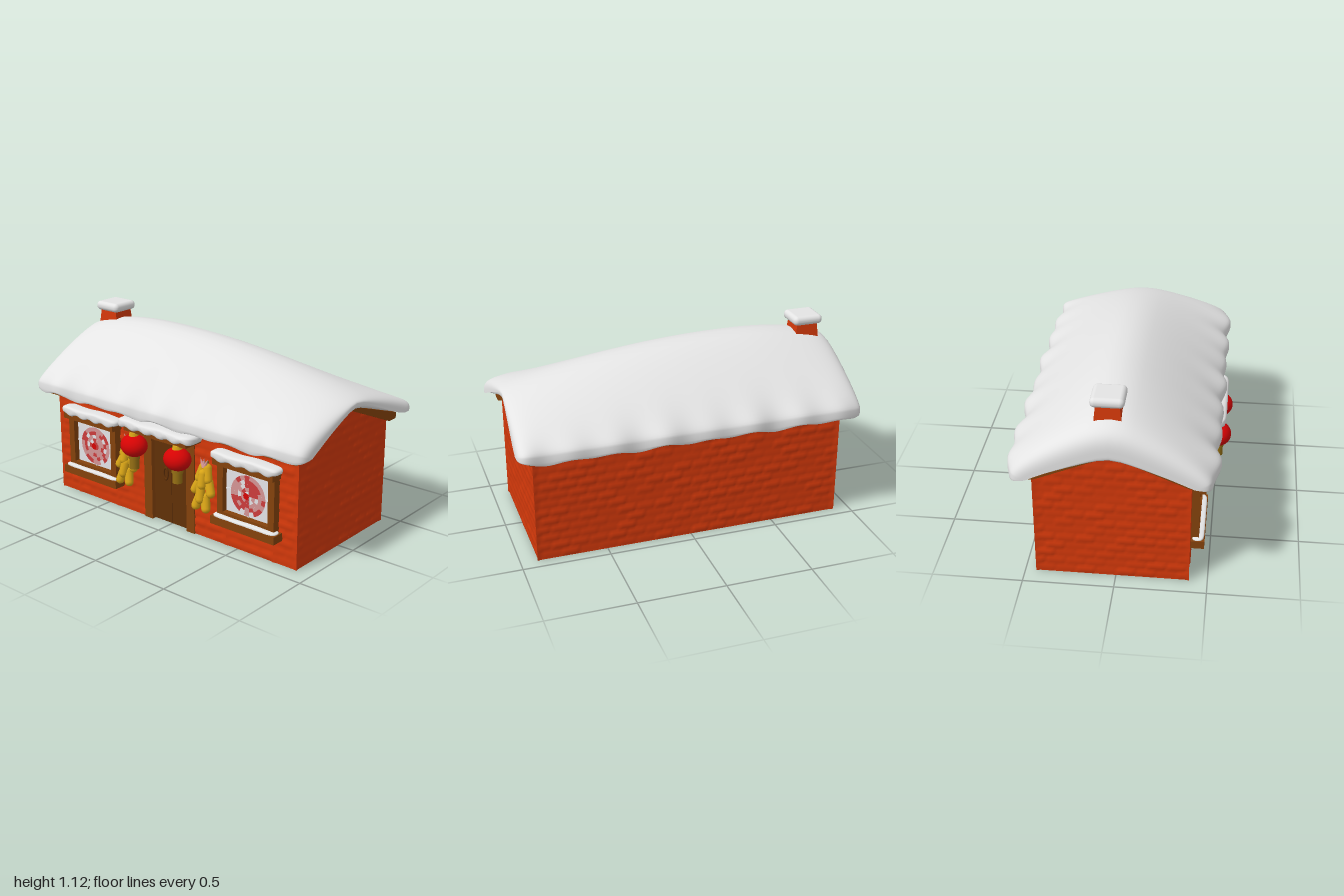
import * as THREE from 'three';
import { RoundedBoxGeometry } from 'three/addons/geometries/RoundedBoxGeometry.js';
import { mergeGeometries } from 'three/addons/utils/BufferGeometryUtils.js';

const mat = (name, color, side = THREE.FrontSide) => {
  const m = new THREE.MeshStandardMaterial({ color, side });
  m.name = name;
  return m;
};

export function createModel() {
  const root = new THREE.Group();
  root.name = 'snowyCottage';
  const M = {
    brick: mat('red brick', 0xd2380a, THREE.DoubleSide),
    snow: mat('snow', 0xe4e4e4),
    wood: mat('brown wood', 0x84420c),
    darkWood: mat('dark door wood', 0x613006),
    red: mat('lantern red', 0xd60404),
    gold: mat('dull gold', 0x967014),
    corn: mat('corn yellow', 0xd8a416),
    pane: mat('window white', 0xe6e6ea, THREE.DoubleSide),
    paper: mat('paper cut red', 0xcc3c3c),
    pink: mat('paper cut pink', 0xd49494),
  };
  const add = (name, geo, m, x = 0, y = 0, z = 0, parent = root) => {
    const mesh = new THREE.Mesh(geo, m);
    mesh.name = name;
    mesh.position.set(x, y, z);
    parent.add(mesh);
    return mesh;
  };
  const box = (name, w, h, d, m, x, y, z, parent) =>
    add(name, new THREE.BoxGeometry(w, h, d), m, x, y, z, parent);
  const sp = (v, p) => Math.sign(v) * Math.abs(v) ** p;
  const hash = (a, b) => { const v = Math.sin(a * 12.99 + b * 78.23) * 43758.5; return v - Math.floor(v); };

  // Closed loops of points swept along x
  function loft(nu, nv, fn) {
    const pos = [], idx = [];
    for (let i = 0; i <= nu; i++)
      for (let j = 0; j < nv; j++) pos.push(...fn(-Math.cos(Math.PI * i / nu), 2 * Math.PI * j / nv));
    for (let i = 0; i < nu; i++)
      for (let j = 0; j < nv; j++) {
        const k = (j + 1) % nv, a = i * nv + j, b = a + nv, c = i * nv + k, d = c + nv;
        idx.push(a, b, c, b, d, c);
      }
    const g = new THREE.BufferGeometry();
    g.setAttribute('position', new THREE.Float32BufferAttribute(pos, 3));
    g.setIndex(idx);
    g.computeVertexNormals();
    return g;
  }

  // Soft slab of snow with a wavy lower edge
  const snowSlab = (w, h, d) => loft(36, 20, (t, a) => {
    const r = Math.max(0, 1 - t ** 12) ** 0.4, x = t * w / 2;
    const drip = Math.sin(a) < 0.1 ? h * 0.13 * Math.sin(x * 60 + 1) : h * 0.06 * Math.sin(x * 24);
    return [x, h / 2 * r * sp(Math.sin(a), 0.6) + drip * r, d / 2 * r * sp(Math.cos(a), 0.5)];
  });

  // Brick panel facing +z, with grooves pressed in by a rule
  const ROW = 0.0525, COL = 0.11;
  function brickPanel(x0, x1, y0, y1, top) {
    const w = x1 - x0, h = y1 - y0;
    const g = new THREE.PlaneGeometry(w, h, Math.ceil(w / 0.0138), Math.ceil(h / (ROW / 4)));
    g.translate((x0 + x1) / 2, (y0 + y1) / 2, 0);
    const p = g.attributes.position;
    for (let i = 0; i < p.count; i++) {
      const x = p.getX(i), y = p.getY(i), row = Math.floor(y / ROW + 1e-4);
      const cx = x / COL + (row % 2) * 0.5, col = Math.floor(cx);
      const fy = Math.abs(2 * (y / ROW - row) - 1), fx = Math.abs(2 * (cx - col) - 1);
      const fade = Math.min(1, (x - x0) / 0.025, (x1 - x) / 0.025);
      const groove = Math.max(fy ** 5, fx ** 8);
      p.setZ(i, -fade * (0.006 * groove + 0.005 * hash(row, col) * (1 - groove)));
      if (top) p.setY(i, Math.min(y, top(x)));
    }
    g.computeVertexNormals();
    return g;
  }

  // Walls
  const ZF = 0.4, ZB = -0.44, XW = 0.905, EAVE = 0.63, ZC = -0.02;
  const WX = 0.585, WH = 0.165, W0 = 0.21, W1 = 0.5, DX = 0.15, DT = 0.55;
  const front = [[-DX, DX, DT, EAVE]];
  for (const s of [-1, 1]) {
    const strip = (a, b, y0, y1) => front.push([Math.min(s * a, s * b), Math.max(s * a, s * b), y0, y1]);
    strip(DX, WX - WH, 0, EAVE);
    strip(WX + WH, XW, 0, EAVE);
    strip(WX - WH, WX + WH, 0, W0);
    strip(WX - WH, WX + WH, W1, EAVE);
  }
  front.forEach((r) => add('frontWall', brickPanel(...r), M.brick, 0, 0, ZF));
  add('backWall', brickPanel(-XW, XW, 0, EAVE), M.brick, 0, 0, ZB).rotation.y = Math.PI;
  for (const s of [-1, 1]) {
    const gable = (x) => 0.8 - 0.17 * Math.abs(x - s * 0.02) / 0.42;
    const [a, b] = s > 0 ? [-ZF, -ZB] : [ZB, ZF];
    add('gableWall', brickPanel(a, b, 0, 0.8, gable), M.brick, s * XW, 0, 0).rotation.y = s * Math.PI / 2;
    box('wallFoot', 0.03, 0.012, 0.82, M.brick, s * 0.885, 0.006, ZC);
    box('wallFoot', XW - DX - 0.02, 0.012, 0.03, M.brick, s * (XW + DX) / 2, 0.006, 0.38);
  }
  box('wallFoot', 1.78, 0.012, 0.03, M.brick, 0, 0.006, -0.42);

  // Wooden roof deck
  const deck = new THREE.Shape([
    [0.46, 0.625], [0.46, 0.66], [ZC, 0.82], [-0.5, 0.66], [-0.5, 0.625], [-0.43, 0.625], [ZC, 0.797], [0.39, 0.625],
  ].map(([z, y]) => new THREE.Vector2(-z, y)));
  const deckGeo = new THREE.ExtrudeGeometry(deck, { depth: 1.86, bevelEnabled: false });
  deckGeo.rotateY(Math.PI / 2);
  add('roofDeck', deckGeo, M.wood, -0.93);

  // Thick roof snow, sagging toward +x, scalloped only at the eaves
  add('roofSnow', loft(120, 72, (t, a) => {
    const r = Math.max(0, 1 - t ** 20) ** 0.3;
    const s = sp(Math.cos(a), 0.85), m = (Math.sqrt(s * s + 0.02) - 0.1414) / 0.8686;
    const ridge = 1.06 - (t < -0.4 ? 0.2 : 0.1) * (t + 0.4) ** 2;
    const wave = Math.sin(t * 24 + (s > 0 ? 1.2 : 3)) * 0.6 + Math.sin(t * 15 + Math.sign(s)) * 0.4;
    const T = (ridge - 0.8) * (1 - m ** 1.2) + 0.125 * m;
    const q = Math.abs(Math.sin(a)) ** 0.4 * r;
    const c = 0.84 - 0.17 * m + 0.01 * wave * s ** 8;
    const y = Math.sin(a) >= 0 ? c + (T - 0.04) * q : c - (0.04 - 0.02 * wave * s ** 4) * q;
    const hw = (0.55 + 0.018 * wave * s ** 6) * (0.8 + 0.2 * r);
    return [t > 0 ? t * (1 - 0.028 * (1 - Math.abs(s))) : t, y, ZC + s * hw];
  }), M.snow);

  // Chimney running down inside the house
  box('chimneyShaft', 0.12, 0.86, 0.12, M.brick, -0.83, 0.55, -0.035);
  box('chimneyMouth', 0.11, 0.01, 0.11, M.darkWood, -0.83, 0.116, -0.035);
  const stack = new THREE.CylinderGeometry(0.062 * Math.SQRT2, 0.075 * Math.SQRT2, 0.13, 4);
  stack.rotateY(Math.PI / 4);
  add('chimney', stack.toNonIndexed(), M.brick, -0.83, 1.015, -0.035).geometry.computeVertexNormals();
  add('chimneySnow', new RoundedBoxGeometry(0.18, 0.055, 0.178, 4, 0.026), M.snow, -0.83, 1.097, -0.036);

  // Windows
  for (const s of [-1, 1]) {
    const w = new THREE.Group();
    w.name = 'window';
    w.position.set(s * WX, 0.355, ZF);
    root.add(w);
    const put = (...a) => box(...a, w);
    put('pane', 0.33, 0.29, 0.006, M.pane, 0, 0, 0.005);
    for (const k of [-1, 1]) {
      put('frameSide', 0.042, 0.36, 0.06, M.wood, k * 0.175, -0.005, 0.012);
      put('frameRail', 0.35, 0.032, 0.06, M.wood, 0, k * 0.154 + 0.004, 0.012);
    }
    put('muntin', 0.008, 0.28, 0.008, M.pane, 0, 0, 0.01);
    put('muntin', 0.31, 0.008, 0.008, M.pane, 0, 0, 0.01);
    put('sill', 0.44, 0.046, 0.085, M.wood, 0, -0.187, 0.03);
    put('lintel', 0.41, 0.036, 0.08, M.wood, 0, 0.162, 0.032);
    add('sillSnow', snowSlab(0.43, 0.022, 0.07), M.snow, 0, -0.162, 0.035, w);
    add('lintelSnow', snowSlab(0.46, 0.052, 0.092), M.snow, 0, 0.194, 0.036, w);
    // Lacy round paper cut, made of ring pieces in red and pink with gaps
    const pieces = { paper: [], pink: [] };
    const rings = [0, 0.026, 0.048, 0.07, 0.092, 0.118];
    for (let i = 0; i < 5; i++) {
      const n = 5 + i * 4;
      for (let j = 0; j < n; j++) {
        const h = hash(i + 3 * s, j + 1), a = 2 * Math.PI / n;
        if (h > (i === 4 ? 0.95 : 0.72)) continue;
        const g = new THREE.RingGeometry(rings[i], rings[i + 1], 3, 1, j * a, a);
        pieces[i === 0 || h < 0.3 ? 'paper' : 'pink'].push(g);
      }
    }
    for (const key of Object.keys(pieces))
      add('paperCut', mergeGeometries(pieces[key]), M[key], 0, -0.008, 0.0155, w);
    add('paperHeart', new THREE.CircleGeometry(0.02, 10), M.red, -0.012, -0.012, 0.017, w);
  }

  // Door, frame and canopy
  for (const s of [-1, 1]) {
    box('doorLeaf', 0.131, 0.5, 0.025, M.darkWood, s * 0.067, 0.252, 0.368);
    box('doorPost', 0.06, 0.56, 0.075, M.wood, s * 0.162, 0.28, 0.368);
    const ring = add('doorHandle', new THREE.TorusGeometry(0.026, 0.006, 8, 20), M.darkWood, s * 0.038, 0.305, 0.386);
    ring.scale.set(0.6, 1.35, 1);
  }
  box('doorHeader', 0.27, 0.06, 0.06, M.wood, 0, 0.53, 0.374);
  box('canopy', 0.47, 0.028, 0.13, M.wood, 0, 0.578, 0.46);
  add('canopySnow', snowSlab(0.56, 0.056, 0.155), M.snow, 0, 0.612, 0.478);

  // Lanterns
  for (const s of [-1, 1]) {
    const l = new THREE.Group();
    l.name = 'lantern';
    l.position.set(s * 0.165, 0.485, 0.513);
    root.add(l);
    add('lanternBody', new THREE.SphereGeometry(1, 28, 18), M.red, 0, 0, 0, l).scale.set(0.083, 0.066, 0.072);
    add('lanternCap', new THREE.CylinderGeometry(0.024, 0.03, 0.024, 16), M.corn, 0, 0.069, 0, l);
    add('lanternCollar', new THREE.CylinderGeometry(0.033, 0.033, 0.02, 16), M.gold, 0, -0.069, 0, l);
    add('lanternTassel', new THREE.CylinderGeometry(0.028, 0.028, 0.062, 16), M.gold, 0, -0.108, 0, l);
    add('lanternCord', new THREE.CylinderGeometry(0.004, 0.004, 0.03, 6), M.gold, 0, 0.09, 0, l);
  }

  // Hanging corn bunches: x, y, tilt, z
  const cobs = [
    [-0.022, 0.41, -0.25, 0.432], [0.022, 0.41, 0.25, 0.432], [0.004, 0.38, 0.05, 0.455],
    [-0.042, 0.335, -0.4, 0.44], [0.044, 0.335, 0.4, 0.44], [0, 0.3, 0.1, 0.468],
    [-0.026, 0.25, -0.25, 0.458], [0.03, 0.248, 0.25, 0.458],
  ];
  for (const s of [-1, 1]) {
    const g = new THREE.Group();
    g.name = 'cornBunch';
    g.position.x = s * 0.292;
    root.add(g);
    for (const [x, y, tilt, z] of cobs) {
      const cob = add('cornCob', new THREE.CapsuleGeometry(0.026, 0.065, 6, 12), M.corn, s * x, y, z, g);
      cob.rotation.z = s * tilt;
      cob.rotation.x = -0.25;
    }
    for (const k of [-1, 0, 1])
      add('husk', new THREE.ConeGeometry(0.014, 0.055, 8), M.pink, k * 0.016, 0.472, 0.435, g).rotation.z = -k * 0.45;
    box('hook', 0.012, 0.015, 0.03, M.gold, 0, 0.465, 0.415, g);
  }
  return root;
}
